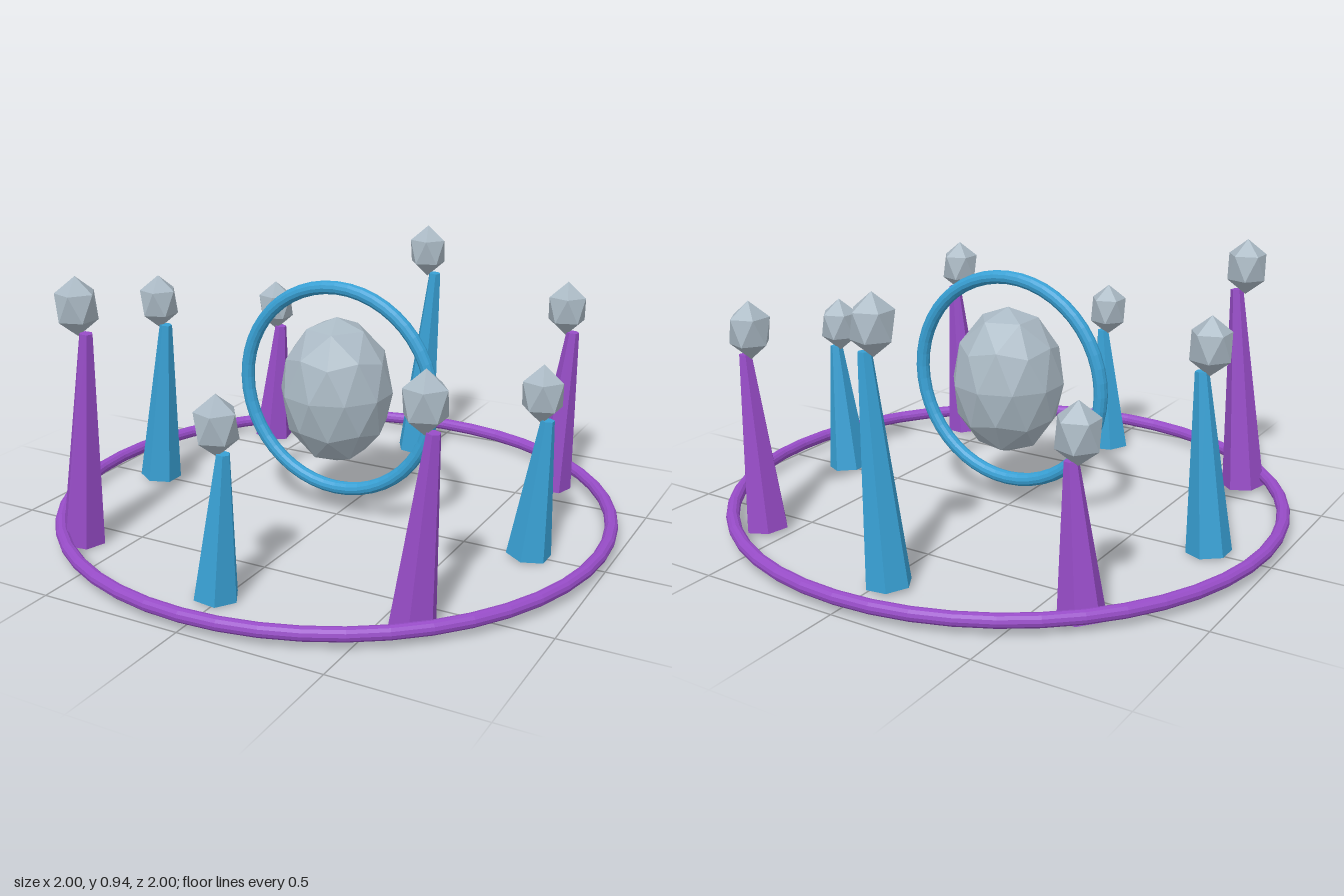
import * as THREE from 'three';

const material = (name, color) => {
  const m = new THREE.MeshStandardMaterial({ color, flatShading: true });
  m.name = name;
  return m;
};

export function createModel() {
  const model = new THREE.Group();
  const blue = material('blue', 0x38a0d4);
  const purple = material('purple', 0x974cc7);
  const silver = material('silver', 0xaab9c4);

  const add = (name, geometry, mat, x, y, z) => {
    const mesh = new THREE.Mesh(geometry, mat);
    mesh.name = name;
    mesh.position.set(x, y, z);
    model.add(mesh);
    return mesh;
  };

  // Faceted gem standing on one of its corners, stretched upwards
  const gem = (radius, halfHeight, detail) =>
    new THREE.IcosahedronGeometry(1, detail)
      .rotateZ(-Math.atan(2 / (1 + Math.sqrt(5))))
      .scale(radius, halfHeight, radius);

  // Ground ring, and the upright ring around the core
  add('groundRing', new THREE.TorusGeometry(0.976, 0.023, 12, 48).rotateX(Math.PI / 2), purple, 0, 0.048, 0);
  add('uprightRing', new THREE.TorusGeometry(0.368, 0.024, 12, 48), blue, 0, 0.475, 0);
  add('core', gem(0.2, 0.265, 1), silver, 0, 0.475, 0);

  // Eight leaning spikes in three heights, each with a gem above it
  const tipGeometry = gem(0.077, 0.1, 0);
  const tilt = THREE.MathUtils.degToRad(5);
  for (let i = 0; i < 8; i++) {
    const angle = (i * Math.PI) / 4;
    const radius = i % 2 ? 0.88 : 0.756;
    const height = 0.484 + 0.132 * (i % 3);
    const x = Math.cos(angle) * radius;
    const z = -Math.sin(angle) * radius;
    const spike = add('spike', new THREE.CylinderGeometry(0.023, 0.077, height, 6),
      i % 2 ? purple : blue, x, 0.007 + height / 2, z);
    spike.rotation.set(0, angle, -tilt, 'ZYX');
    add('spikeTip', tipGeometry, silver, x, height + 0.092, z);
  }
  return model;
}
